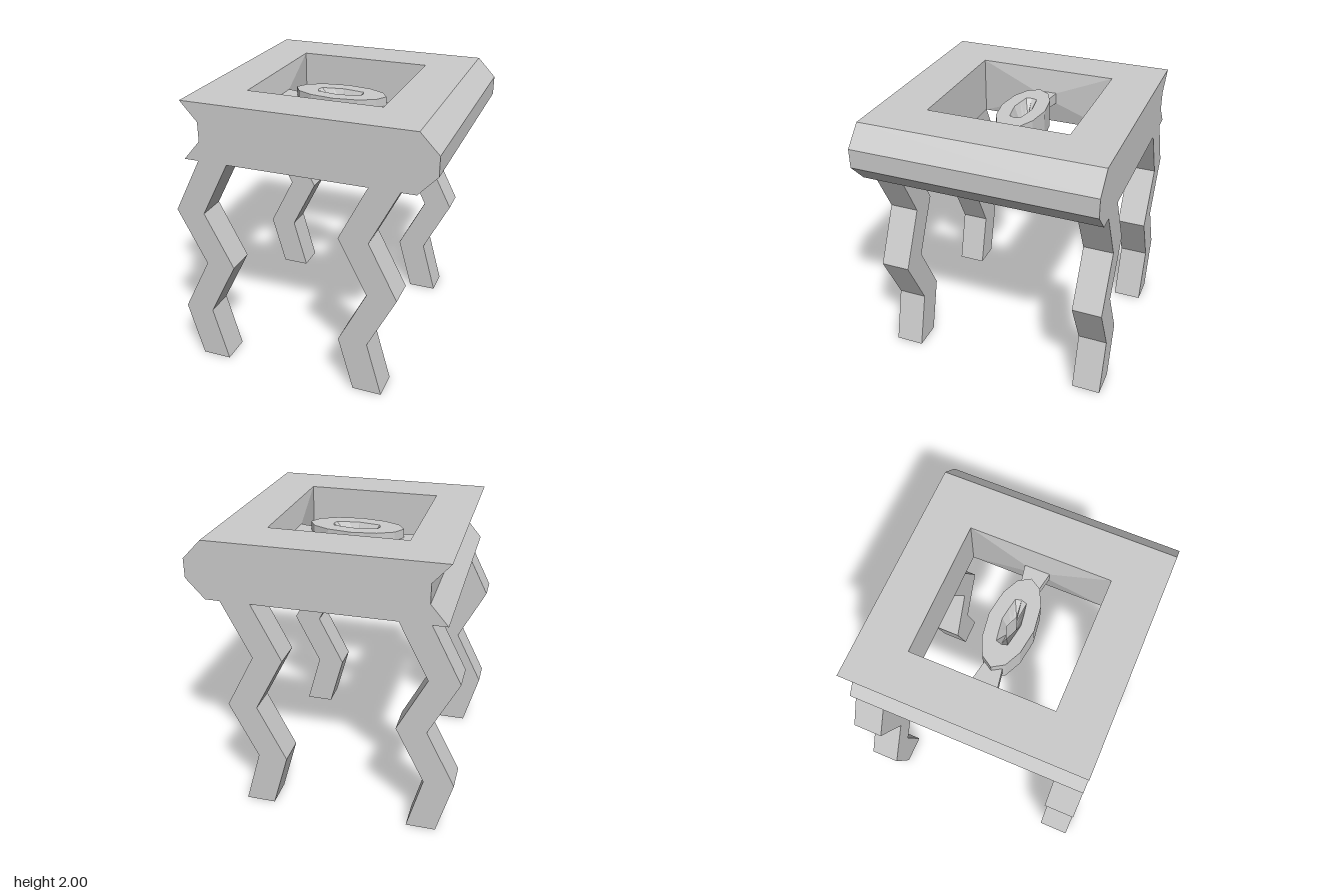
import * as THREE from 'three';

const material = new THREE.MeshStandardMaterial({ color: 0xcccccc, flatShading: true });
const midY = 1.795, midX = -0.02, holeX = 0.48, holeZ = 0.5;

function addMesh(parent, name, geometry) {
  const mesh = new THREE.Mesh(geometry, material);
  mesh.name = name;
  parent.add(mesh);
  return mesh;
}

// Skin a series of closed loops of [x, y, z] points with flat quads
function loft(loops) {
  const pos = [];
  for (let i = 0; i < loops.length - 1; i++) {
    const top = loops[i], low = loops[i + 1], n = top.length;
    for (let j = 0; j < n; j++) {
      const k = (j + 1) % n;
      for (const p of [top[j], low[j], low[k], top[j], low[k], top[k]]) pos.push(...p);
    }
  }
  const geometry = new THREE.BufferGeometry();
  geometry.setAttribute('position', new THREE.Float32BufferAttribute(pos, 3));
  geometry.computeVertexNormals();
  return geometry;
}

// Horizontal rectangle, and a rectangle facing along x
const flatRect = (y, x0, x1, z) => [[x1, y, z], [x1, y, -z], [x0, y, -z], [x0, y, z]];
const sideRect = (x, y, z) => [[x, y, z], [x, y, -z], [x, -y, -z], [x, -y, z]];

// Square frame: pointed ridge on one side, matching groove on the other
function addTop(parent) {
  const inner = (y) => flatRect(y, midX - holeX, midX + holeX, holeZ);
  addMesh(parent, 'tableTop', loft([
    inner(2),
    flatRect(2, -0.82, 0.79, 0.84),
    flatRect(1.865, -0.70, 0.92, 0.84),
    flatRect(1.73, -0.70, 0.92, 0.84),
    flatRect(1.59, -0.82, 0.79, 0.84),
    inner(1.59),
  ]));
  for (const s of [1, -1]) {
    const wall = addMesh(parent, s > 0 ? 'frontInnerWall' : 'backInnerWall',
      new THREE.PlaneGeometry(2 * holeX, 0.41));
    wall.position.set(midX, midY, s * holeZ);
    wall.rotation.y = s > 0 ? Math.PI : 0;
  }
}

// Oval ring held in the opening by two tapered arms
function addCentre(parent) {
  const centre = new THREE.Group();
  centre.name = 'centrePiece';
  centre.position.set(midX, midY, 0);
  parent.add(centre);

  const oval = (y, quarter) => Array.from({ length: 12 }, (_, i) => {
    const a = i * Math.PI / 6, q = i % 6;
    const [x, z] = quarter[q <= 3 ? q : 6 - q];
    return [x * (Math.cos(a) >= 0 ? 1 : -1), y, -z * (Math.sin(a) >= 0 ? 1 : -1)];
  });
  const rim = [[0.34, 0], [0.29, 0.08], [0.175, 0.135], [0, 0.16]];
  const mouth = [[0.17, 0], [0.158, 0.04], [0.08, 0.054], [0, 0.066]];
  const waist = [[0.085, 0], [0.056, 0.011], [0.028, 0.022], [0, 0.033]];
  addMesh(centre, 'ovalRing', loft([
    oval(0.1, mouth), oval(0.1, rim), oval(-0.1, rim),
    oval(-0.1, mouth), oval(0, waist), oval(0.1, mouth),
  ]));

  // Each arm grows out of a shallow pyramid-shaped inner wall
  const arm = loft([sideRect(0.27, 0.035, 0.058), sideRect(0.445, 0.04, 0.09),
    sideRect(holeX, 0.205, holeZ)]);
  addMesh(centre, 'leftArm', arm);
  addMesh(centre, 'rightArm', arm).rotation.y = Math.PI;
}

// Zigzag legs, all bending the same way
function addLegs(parent) {
  const edge = [[-0.81, 0], [-0.92, 0.4], [-0.717, 0.8], [-0.92, 1.195], [-0.717, 1.59]];
  const outline = [...edge, ...edge.map(([x, y]) => [x + 0.21, y]).reverse()];
  const shape = new THREE.Shape(outline.map(([x, y]) => new THREE.Vector2(x, y)));
  const geometry = new THREE.ExtrudeGeometry(shape, { depth: 0.21, bevelEnabled: false });
  for (const [side, x] of [['Right', 0], ['Left', 1.195]]) {
    for (const [end, z] of [['front', 0.63], ['back', -0.84]]) {
      addMesh(parent, `${end}${side}Leg`, geometry).position.set(x, 0, z);
    }
  }
}

export function createModel() {
  const table = new THREE.Group();
  table.name = 'table';
  addTop(table);
  addCentre(table);
  addLegs(table);
  return table;
}
